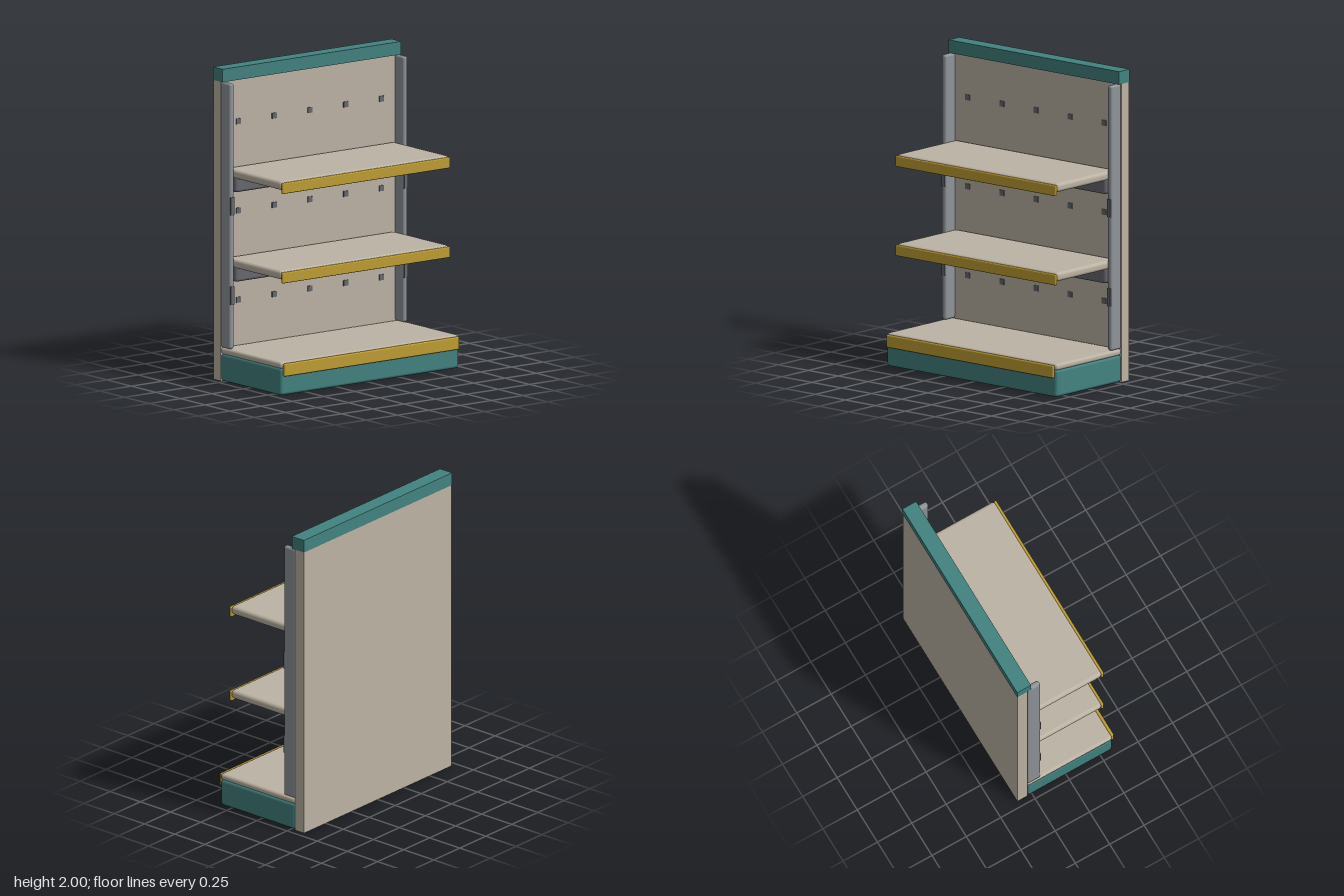
import * as THREE from 'three';
import { RoundedBoxGeometry } from 'three/addons/geometries/RoundedBoxGeometry.js';

const material = (name, color) => {
  const m = new THREE.MeshStandardMaterial({ color });
  m.name = name;
  return m;
};

export function createModel() {
  const beige = material('beige', 0xbcb3a4);
  const teal = material('teal', 0x428280);
  const yellow = material('yellow', 0xbf9d32);
  const steel = material('steel grey', 0x8f9499);
  const dark = material('dark grey', 0x66686e);

  const model = new THREE.Group();
  model.name = 'storeShelf';

  // Box given by its extents on each axis; a radius rounds its edges
  const box = (name, mat, [x0, x1], [y0, y1], [z0, z1], radius = 0) => {
    const w = x1 - x0, h = y1 - y0, d = z1 - z0;
    const geometry = radius
      ? new RoundedBoxGeometry(w, h, d, 3, radius)
      : new THREE.BoxGeometry(w, h, d);
    const mesh = new THREE.Mesh(geometry, mat);
    mesh.name = name;
    mesh.position.set((x0 + x1) / 2, (y0 + y1) / 2, (z0 + z1) / 2);
    model.add(mesh);
  };

  // Back panel and header
  box('backPanel', beige, [-0.71, 0.71], [0, 1.917], [-0.355, -0.28]);
  box('header', teal, [-0.712, 0.712], [1.917, 2], [-0.357, -0.257]);

  // Plinth with its deck and price rail
  box('plinth', teal, [-0.712, 0.712], [0.003, 0.178], [-0.283, 0.336], 0.02);
  box('baseDeck', beige, [-0.712, 0.712], [0.174, 0.216], [-0.283, 0.336], 0.018);
  box('basePriceRail', yellow, [-0.698, 0.698], [0.127, 0.209], [0.334, 0.356], 0.009);

  // Two upper shelves, each with a price rail and a support bar
  for (const top of [0.788, 1.361]) {
    box('shelf', beige, [-0.672, 0.672], [top - 0.057, top], [-0.28, 0.285], 0.022);
    box('priceRail', yellow, [-0.67, 0.67], [top - 0.078, top - 0.008], [0.28, 0.3], 0.008);
    box('supportBar', dark, [-0.67, 0.67], [top - 0.145, top - 0.045], [-0.275, -0.176], 0.018);
  }

  // Side posts with dark clips on their front faces
  for (const side of [-1, 1]) {
    const span = (a, b) => (side > 0 ? [a, b] : [-b, -a]);
    box('post', steel, span(0.674, 0.711), [0.216, 1.917], [-0.283, -0.186], 0.015);
    for (const y of [0.56, 1.132]) {
      box('postClip', dark, span(0.677, 0.705), [y - 0.058, y + 0.058], [-0.2, -0.18]);
    }
  }

  // Rows of slots on the back panel
  for (const y of [0.504, 1.075, 1.647]) {
    for (let i = -2; i <= 2; i++) {
      const x = i * 0.285;
      box('slot', dark, [x - 0.018, x + 0.018], [y - 0.018, y + 0.018], [-0.281, -0.274]);
    }
  }

  return model;
}
